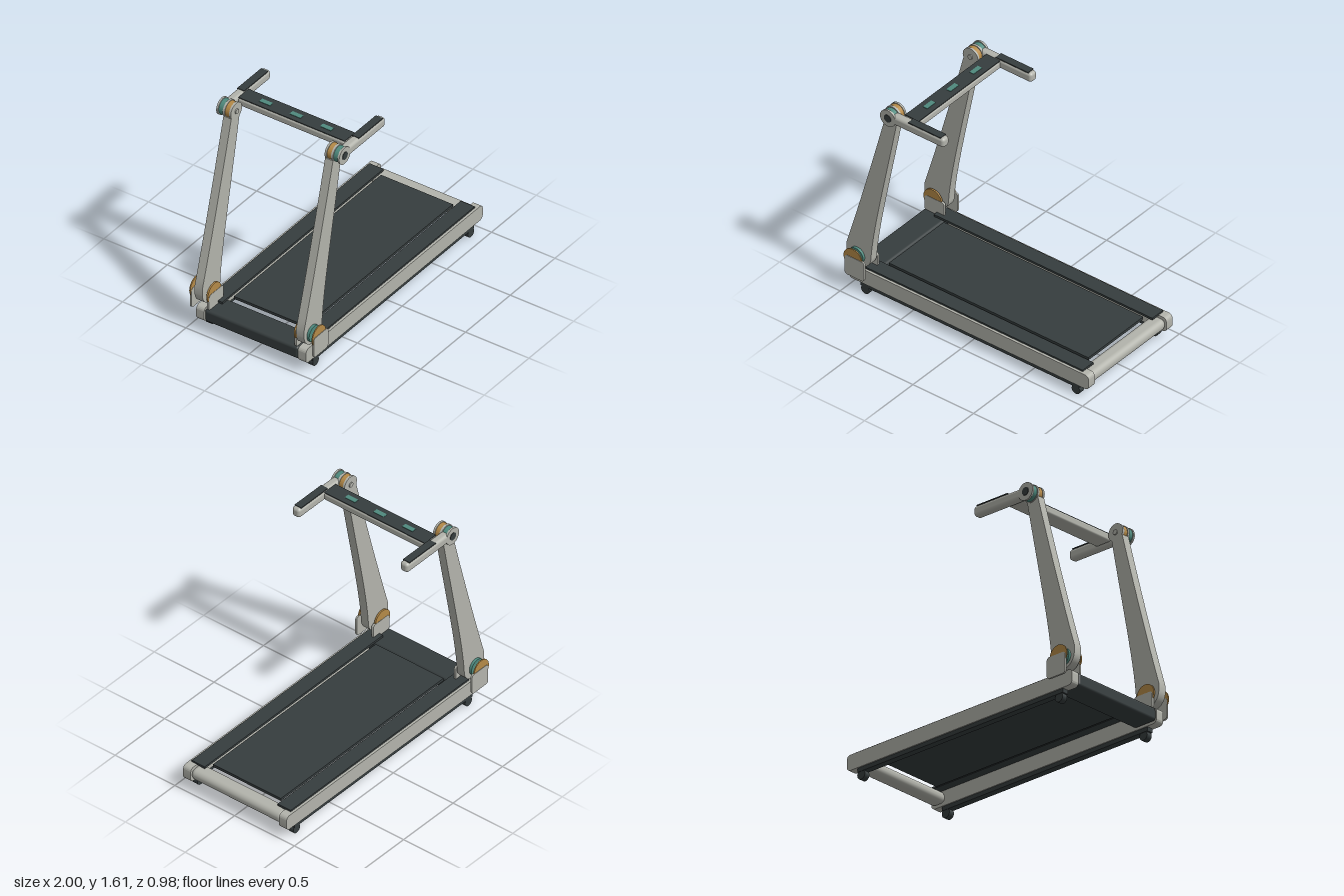
import * as THREE from 'three';
import { toCreasedNormals } from 'three/addons/utils/BufferGeometryUtils.js';
import { RoundedBoxGeometry } from 'three/addons/geometries/RoundedBoxGeometry.js';

const material = (name, color) => {
  const m = new THREE.MeshStandardMaterial({ color });
  m.name = name;
  return m;
};

export function createModel() {
  const model = new THREE.Group();
  model.name = 'treadmill';
  const grey = material('warmGrey', 0xb3b4ac);
  const dark = material('charcoal', 0x363d3e);
  const amber = material('amber', 0xb58a48);
  const teal = material('teal', 0x4f8a7e);

  const add = (name, geometry, mat, parent = model) => {
    const mesh = new THREE.Mesh(geometry, mat);
    mesh.name = name;
    parent.add(mesh);
    return mesh;
  };
  // Boxes are given by their limits; radius > 0 rounds all edges
  const box = (name, mat, [x0, x1], [y0, y1], [z0, z1], radius = 0, parent = model) => {
    const size = [x1 - x0, y1 - y0, z1 - z0];
    const g = radius ? new RoundedBoxGeometry(...size, 4, radius) : new THREE.BoxGeometry(...size);
    add(name, g, mat, parent).position.set((x0 + x1) / 2, (y0 + y1) / 2, (z0 + z1) / 2);
  };
  // Side profile extruded between two z values
  const slab = (name, mat, shape, z0, z1, parent) => {
    const g = new THREE.ExtrudeGeometry(shape, { depth: z1 - z0, bevelEnabled: false, curveSegments: 14 });
    add(name, toCreasedNormals(g, 0.5), mat, parent).position.z = z0;
  };
  const disc = (name, mat, x, y, r, z0, z1, parent) => {
    const g = new THREE.CylinderGeometry(r, r, z1 - z0, 40).rotateX(Math.PI / 2);
    add(name, g, mat, parent).position.set(x, y, (z0 + z1) / 2);
  };
  const roundRect = (x0, x1, y0, y1, r) => {
    const s = new THREE.Shape();
    s.absarc(x1 - r, y1 - r, r, 0, Math.PI / 2);
    s.absarc(x0 + r, y1 - r, r, Math.PI / 2, Math.PI);
    s.absarc(x0 + r, y0 + r, r, Math.PI, Math.PI * 1.5);
    s.absarc(x1 - r, y0 + r, r, Math.PI * 1.5, Math.PI * 2);
    s.closePath();
    return s;
  };

  // Tapered upright: round foot, gently curved edges, narrow neck
  const armShape = new THREE.Shape();
  armShape.moveTo(-1, 0.31);
  armShape.absarc(-0.9, 0.31, 0.1, Math.PI, Math.PI * 2);
  armShape.bezierCurveTo(-0.785, 0.55, -0.68, 1.0, -0.583, 1.515);
  armShape.lineTo(-0.677, 1.52);
  armShape.bezierCurveTo(-0.76, 1.2, -0.89, 0.72, -1, 0.36);
  armShape.closePath();

  // Deck
  box('runningBelt', dark, [-0.77, 0.875], [0.185, 0.205], [-0.283, 0.283]);
  box('motorCover', dark, [-0.98, -0.793], [0.095, 0.188], [-0.37, 0.37], 0.02);
  box('rearCrossBeam', grey, [0.875, 0.99], [0.1, 0.182], [-0.385, 0.385], 0.038);

  // Console bar with panel and three displays
  box('consoleBar', grey, [-0.536, -0.408], [1.527, 1.582], [-0.42, 0.42], 0.015);
  box('consolePanel', dark, [-0.528, -0.414], [1.58, 1.586], [-0.42, 0.42]);
  for (const z of [-0.24, 0, 0.24])
    box('display', teal, [-0.49, -0.454], [1.584, 1.589], [z - 0.043, z + 0.043]);

  // Both sides
  for (const side of [1, -1]) {
    const group = new THREE.Group();
    group.name = side > 0 ? 'leftSide' : 'rightSide';
    model.add(group);
    const range = (a, b) => (side > 0 ? [a, b] : [-b, -a]);
    const sideBox = (name, mat, x, y, a, b, r) => box(name, mat, x, y, range(a, b), r, group);
    const sideSlab = (name, mat, shape, a, b) => slab(name, mat, shape, ...range(a, b), group);
    const sideDisc = (name, mat, x, y, r, a, b) => disc(name, mat, x, y, r, ...range(a, b), group);

    // Rail, foot strip, standing strip and wheels
    sideSlab('sideRail', grey, roundRect(-0.98, 0.997, 0.085, 0.196, 0.03), 0.37, 0.433);
    sideBox('footStrip', dark, [-0.87, 0.933], [0.192, 0.208], 0.305, 0.415);
    sideBox('underStrip', dark, [-0.893, 0.91], [0.056, 0.086], 0.377, 0.425);
    for (const x of [-0.855, 0.882]) {
      sideDisc('wheel', dark, x, 0.034, 0.034, 0.38, 0.422);
      sideBox('wheelMount', dark, [x - 0.02, x + 0.02], [0.034, 0.07], 0.385, 0.418);
    }

    // Upright and its lower pivot
    sideSlab('upright', grey, armShape, 0.37, 0.432);
    sideDisc('lowerTealDisc', teal, -0.91, 0.295, 0.06, 0.432, 0.451);
    sideDisc('lowerAxle', grey, -0.91, 0.265, 0.035, 0.352, 0.371);
    sideDisc('outerAmberDisc', amber, -0.908, 0.292, 0.075, 0.478, 0.486);
    sideSlab('outerCoverPlate', grey, roundRect(-0.972, -0.81, 0.15, 0.302, 0.022), 0.476, 0.489);
    sideDisc('innerAmberDisc', amber, -0.908, 0.292, 0.075, 0.339, 0.351);
    sideSlab('innerCoverPlate', grey, roundRect(-0.972, -0.81, 0.18, 0.302, 0.022), 0.337, 0.353);

    // Upper pivot: stacked discs
    const stack = [
      ['pivotBolt', grey, 0.018, 0.362, 0.372],
      ['pivotInnerCap', grey, 0.063, 0.37, 0.385],
      ['pivotAmberDisc', amber, 0.058, 0.385, 0.419],
      ['pivotMiddleCap', grey, 0.063, 0.419, 0.435],
      ['pivotTealDisc', teal, 0.056, 0.435, 0.471],
      ['pivotOuterCap', grey, 0.063, 0.471, 0.485],
      ['pivotHub', dark, 0.028, 0.484, 0.489],
    ];
    for (const [name, mat, r, a, b] of stack) sideDisc(name, mat, -0.62, 1.55, r, a, b);

    // Handle with grip pad
    sideBox('handle', grey, [-0.6, -0.16], [1.516, 1.588], 0.42, 0.485, 0.022);
    sideBox('gripPad', dark, [-0.455, -0.187], [1.585, 1.592], 0.425, 0.48);
  }
  return model;
}
